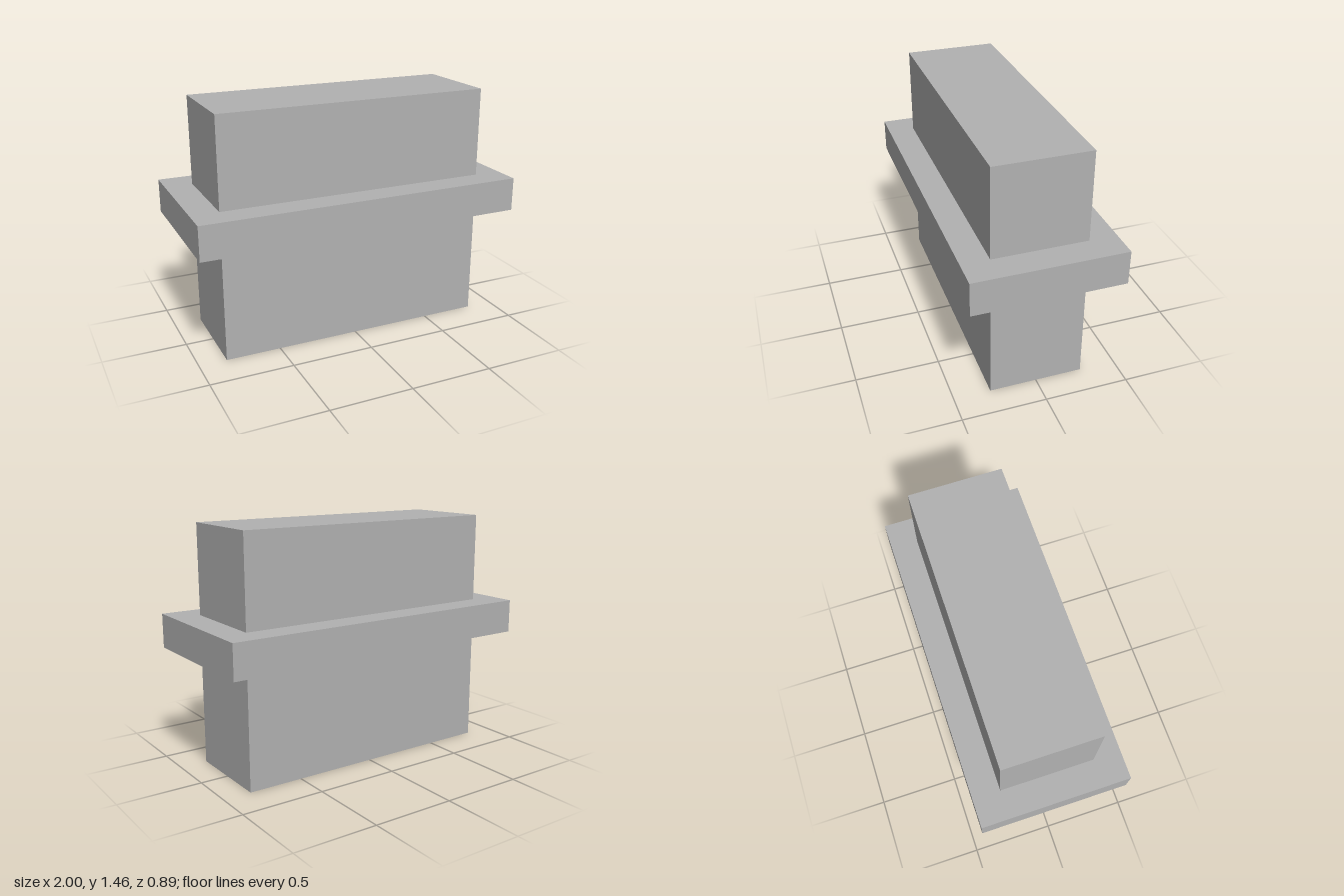
import * as THREE from 'three';

export function createModel() {
  const model = new THREE.Group();
  model.name = 'flangedBlock';

  const grey = new THREE.MeshStandardMaterial({ color: 0xb2b2b2 });
  grey.name = 'grey';

  // Box centred on x and z, spanning bottom to top in y
  const addBox = (name, width, depth, bottom, top) => {
    const mesh = new THREE.Mesh(new THREE.BoxGeometry(width, top - bottom, depth), grey);
    mesh.name = name;
    mesh.position.y = (bottom + top) / 2;
    model.add(mesh);
  };

  // Block below the flange, the wide flange, and the block above it
  addBox('lowerBlock', 1.666, 0.562, 0, 0.711);
  addBox('flange', 2, 0.892, 0.711, 0.917);
  addBox('upperBlock', 1.666, 0.562, 0.917, 1.46);

  return model;
}
